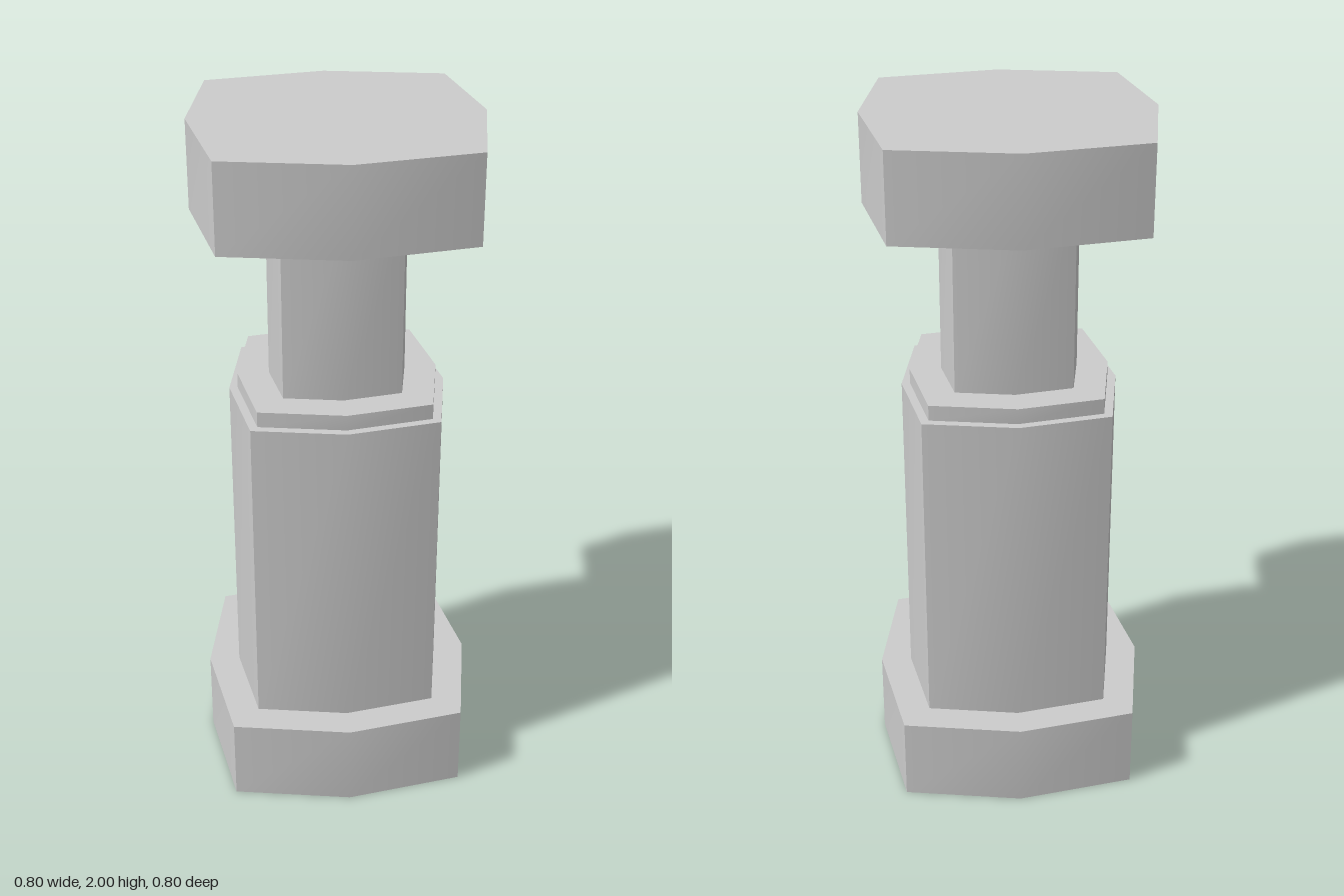
import * as THREE from 'three';

const material = new THREE.MeshStandardMaterial({ color: 0xcccccc, side: THREE.DoubleSide });
const CORNER = 0.85; // corner coordinate relative to the bulging side's middle

// Square outline whose four sides each bulge out to r at the middle
function outline(r, PathType) {
  const c = r * CORNER;
  const points = [[r, 0], [c, c], [0, r], [-c, c], [-r, 0], [-c, -c], [0, -r], [c, -c]];
  return new PathType(points.map(([x, y]) => new THREE.Vector2(x, y)));
}

// Four bulged wall panels: smooth across each side, sharp at the corners
function walls(name, r, y0, y1) {
  const group = new THREE.Group();
  group.name = name;
  const geometry = new THREE.PlaneGeometry(2 * r * CORNER, y1 - y0, 2, 1);
  const position = geometry.attributes.position;
  for (let i = 0; i < position.count; i++) {
    position.setZ(i, Math.abs(position.getX(i)) < 1e-6 ? r : r * CORNER);
  }
  geometry.computeVertexNormals();
  for (let i = 0; i < 4; i++) {
    const panel = new THREE.Mesh(geometry, material);
    panel.name = name + 'Panel';
    panel.position.y = (y0 + y1) / 2;
    panel.rotation.y = i * Math.PI / 2;
    group.add(panel);
  }
  return group;
}

// Horizontal face at height y, with an opening when inner is given
function plate(name, y, outer, inner, up = true) {
  const shape = outline(outer, THREE.Shape);
  if (inner) shape.holes.push(outline(inner, THREE.Path));
  const mesh = new THREE.Mesh(new THREE.ShapeGeometry(shape), material);
  mesh.name = name;
  mesh.rotation.x = up ? -Math.PI / 2 : Math.PI / 2;
  mesh.position.y = y;
  return mesh;
}

export function createModel() {
  const model = new THREE.Group();
  model.name = 'post';
  const foot = 0.4, body = 0.309, collar = 0.285, rod = 0.195, head = 0.4;

  // Hollow shell, open at the bottom
  model.add(
    walls('foot', foot, 0, 0.25),
    plate('footLedge', 0.25, foot, body),
    walls('body', body, 0.25, 1.205),
    plate('bodyLedge', 1.205, body, collar),
    walls('collar', collar, 1.205, 1.25),
    plate('collarLedge', 1.25, collar, rod),
    walls('rod', rod, 1.25, 1.75),
    plate('headUnderside', 1.75, head, rod, false),
    walls('head', head, 1.75, 2),
    plate('headTop', 2, head)
  );
  return model;
}
